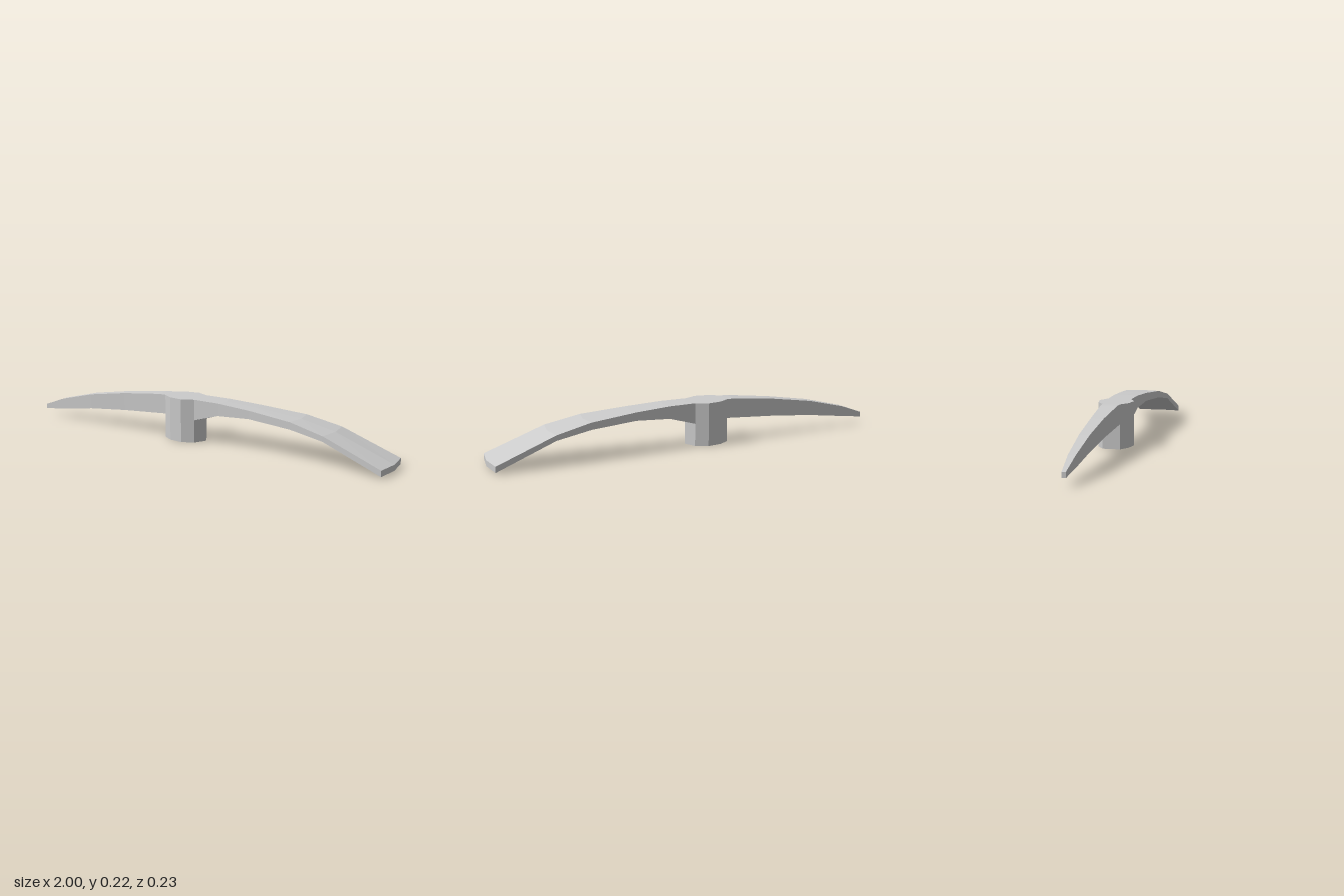
import * as THREE from 'three';

const material = new THREE.MeshStandardMaterial({ color: 0xcccccc, flatShading: true });

// Sections [x, top y, bottom y, half width, centre x offset], in order of growing x
const pickSections = [
  [-1.0, 0.06, 0.035, 0.009, 0],
  [-0.88, 0.105, 0.052, 0.017, 0],
  [-0.68, 0.155, 0.08, 0.024, 0],
  [-0.46, 0.19, 0.101, 0.03, 0],
  [-0.24, 0.215, 0.117, 0.04, 0],
  [-0.2, 0.216, 0.12, 0.042, 0],
];
const bladeSections = [
  [-0.02, 0.216, 0.113, 0.057, 0.03],
  [0.115, 0.215, 0.153, 0.06, 0.015],
  [0.29, 0.205, 0.164, 0.068, 0.015],
  [0.52, 0.185, 0.15, 0.088, 0.015],
  [0.695, 0.147, 0.121, 0.103, 0.015],
  [0.985, 0.037, 0.008, 0.115, 0.015],
];

// Six-cornered sections joined by quads, with both ends capped
function loft(sections) {
  const rings = sections.map(([x, top, bottom, w, dx]) => [
    [x, bottom, w], [x + dx, bottom, 0], [x, bottom, -w],
    [x, top, -w], [x + dx, top, 0], [x, top, w],
  ]);
  const positions = [];
  const quad = (a, b, c, d) => positions.push(...a, ...b, ...c, ...a, ...c, ...d);
  for (let i = 0; i < rings.length - 1; i++) {
    const p = rings[i], q = rings[i + 1];
    for (let j = 0; j < 6; j++) {
      const k = (j + 1) % 6;
      quad(p[j], p[k], q[k], q[j]);
    }
  }
  const first = rings[0], last = rings[rings.length - 1];
  quad(first[0], first[5], first[4], first[1]);
  quad(first[1], first[4], first[3], first[2]);
  quad(last[0], last[1], last[4], last[5]);
  quad(last[1], last[2], last[3], last[4]);
  const geometry = new THREE.BufferGeometry();
  geometry.setAttribute('position', new THREE.Float32BufferAttribute(positions, 3));
  geometry.computeVertexNormals();
  return geometry;
}

// Faceted upright socket, mirrored across z = 0
function socket() {
  const half = [[-0.2, 0.042], [-0.15, 0.074], [-0.08, 0.085], [-0.02, 0.057]];
  const outline = [
    ...half.map(([x, z]) => new THREE.Vector2(x, z)),
    new THREE.Vector2(0.01, 0),
    ...half.map(([x, z]) => new THREE.Vector2(x, -z)).reverse(),
  ];
  const geometry = new THREE.ExtrudeGeometry(new THREE.Shape(outline), {
    depth: 0.216, bevelEnabled: false,
  });
  return geometry.rotateX(-Math.PI / 2);
}

export function createModel() {
  const group = new THREE.Group();
  group.name = 'pickaxeHead';
  const add = (name, geometry) => {
    const mesh = new THREE.Mesh(geometry, material);
    mesh.name = name;
    group.add(mesh);
  };
  add('handleSocket', socket());
  add('pointedPick', loft(pickSections));
  add('flatBlade', loft(bladeSections));
  return group;
}
